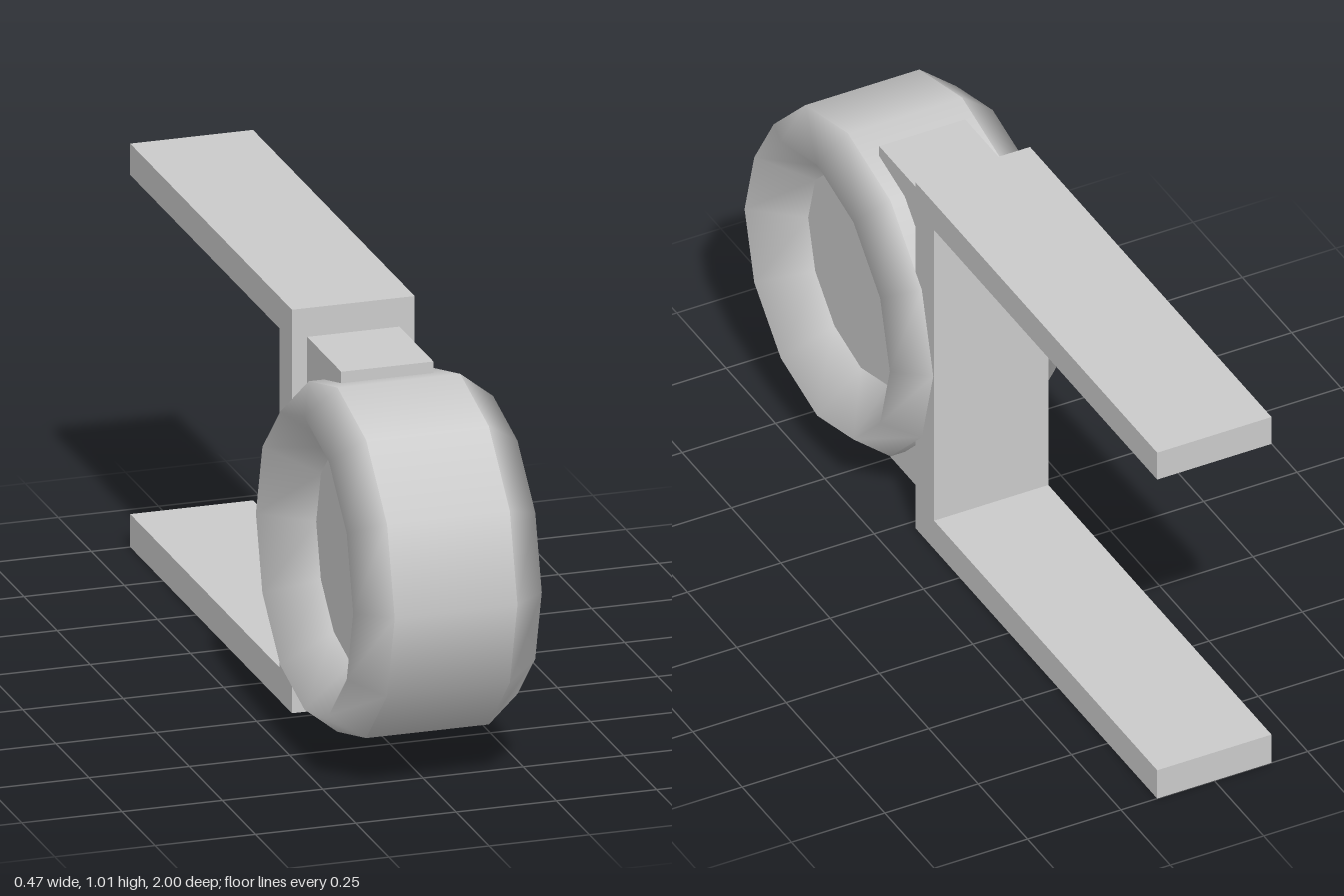
import * as THREE from 'three';

export function createModel() {
  const group = new THREE.Group();
  const material = new THREE.MeshStandardMaterial({ color: 0xcccccc });
  const add = (name, geometry, parent = group) => {
    const mesh = new THREE.Mesh(geometry, material);
    mesh.name = name;
    parent.add(mesh);
    return mesh;
  };

  // C-shaped bracket: upright plate with two long arms reaching back
  const outline = [
    [-0.223, 0], [1, 0], [1, 0.083], [-0.13, 0.083],
    [-0.13, 0.936], [1, 0.936], [1, 1.015], [-0.223, 1.015],
  ].map(([x, y]) => new THREE.Vector2(x, y));
  const bracket = new THREE.ExtrudeGeometry(new THREE.Shape(outline), { depth: 0.306, bevelEnabled: false });
  bracket.translate(0, 0, -0.153).rotateY(Math.PI / 2);
  add('bracket', bracket);

  // Block joining the wheel to the bracket
  const block = add('mountBlock', new THREE.BoxGeometry(0.23, 0.875, 0.28));
  block.position.set(0, 0.505, 0.34);

  // Twelve-sided wheel turning about the x axis
  const wheel = new THREE.Group();
  wheel.name = 'wheel';
  wheel.position.set(0, 0.504, 0.567);
  group.add(wheel);
  const lathe = (name, points, parent) =>
    add(name, new THREE.LatheGeometry(points.map(([r, h]) => new THREE.Vector2(r, h)), 12), parent);

  const tread = lathe('tread', [[0.433, -0.153], [0.433, 0.153]], wheel);
  tread.rotation.z = -Math.PI / 2;

  for (const side of [1, -1]) {
    const half = new THREE.Group();
    half.name = side > 0 ? 'leftWheelSide' : 'rightWheelSide';
    half.rotation.z = -side * Math.PI / 2;
    wheel.add(half);
    // Ridged sidewall sloping down to the recessed hub
    lathe('sidewall', [[0.433, 0.153], [0.368, 0.235], [0.267, 0.118]], half);
    lathe('hubDisc', [[0.267, 0.118], [0, 0.118]], half);
  }
  return group;
}
